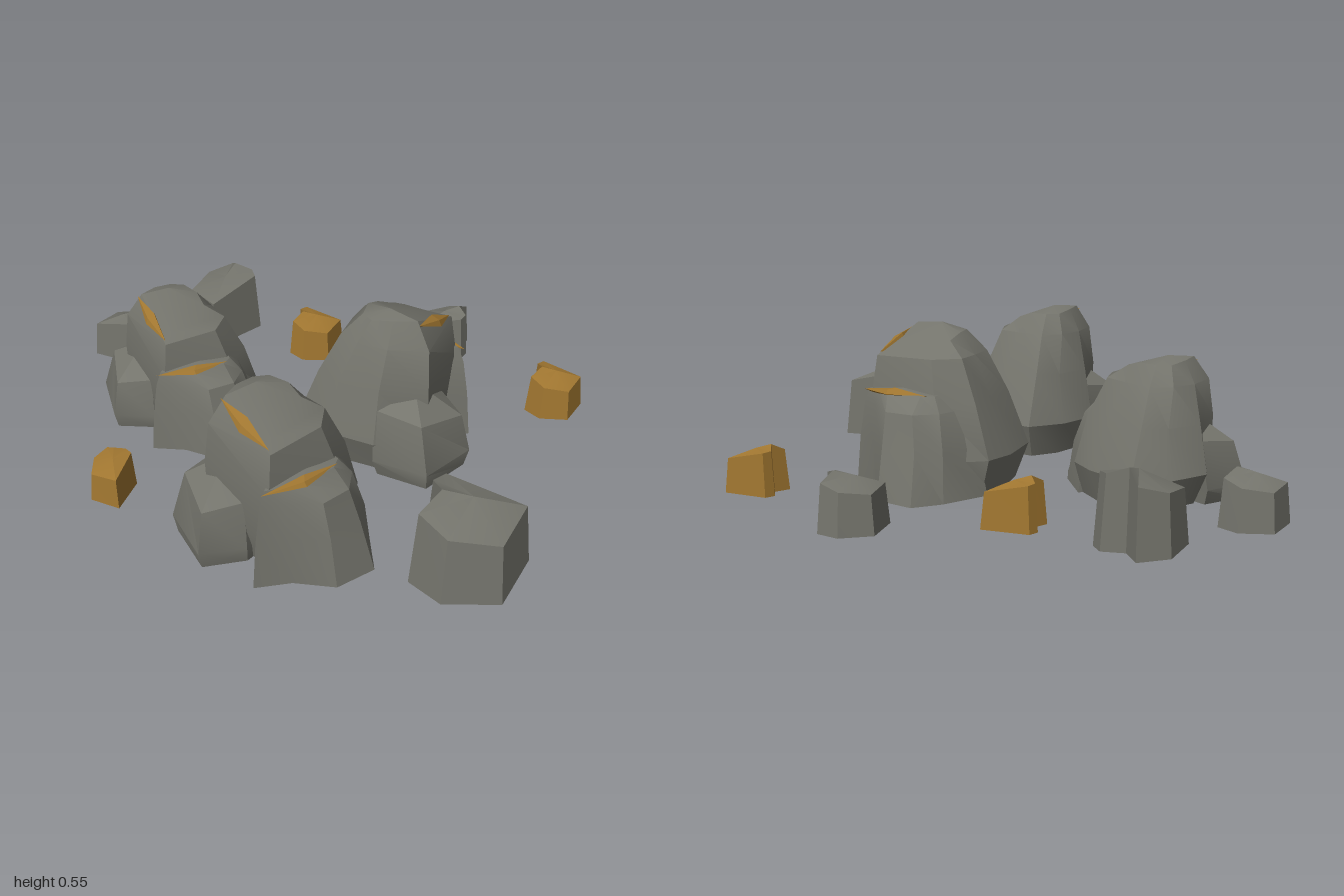
import * as THREE from 'three';
import { toCreasedNormals } from 'three/addons/utils/BufferGeometryUtils.js';
import { ConvexGeometry } from 'three/addons/geometries/ConvexGeometry.js';

const rockMat = new THREE.MeshStandardMaterial({ color: 0x74746c });
const oreMat = new THREE.MeshStandardMaterial({ color: 0xa07630 });

// Lofts rings [y, [[x, z, ownY?], ...]] (clockwise from above) and closes both ends
function loft(rings, peak, [ox, oz]) {
  const pos = [];
  const pts = rings.map(([y, ring]) => ring.map(([x, z, py]) => [x - ox, py ?? y, z - oz]));
  const tri = (a, b, c) => pos.push(...a, ...b, ...c);
  const n = pts[0].length;
  const top = [peak[0] - ox, peak[1], peak[2] - oz];
  const base = [0, 1, 2].map((k) => pts[0].reduce((s, p) => s + p[k], 0) / n);
  const last = pts[pts.length - 1];
  for (let i = 0; i < n; i++) {
    const j = (i + 1) % n;
    for (let r = 0; r < pts.length - 1; r++) {
      const a = pts[r][i], b = pts[r][j], c = pts[r + 1][j], d = pts[r + 1][i];
      tri(a, d, c);
      tri(a, c, b);
    }
    tri(top, last[j], last[i]);
    tri(base, pts[0][i], pts[0][j]);
  }
  const geo = new THREE.BufferGeometry();
  geo.setAttribute('position', new THREE.Float32BufferAttribute(pos, 3));
  return toCreasedNormals(geo, 0.45);
}

// Thin sliver of ore lying in a ledge
function seam(points, [ox, oz]) {
  return new ConvexGeometry(points.map(([x, y, z]) => new THREE.Vector3(x - ox, y, z - oz)));
}

function part(parent, name, geo, mat) {
  const mesh = new THREE.Mesh(geo, mat);
  mesh.name = name;
  parent.add(mesh);
  return mesh;
}

// Outcrop: tall boulder, shoulder boulder, foot boulder and two ore seams
const C = [0.28, 0.48];
const tallBoulder = loft([
  [0, [[.14, .30], [.29, .28], [.40, .31], [.48, .42], [.42, .65], [.20, .66], [.10, .54], [.10, .40]]],
  [.12, [[.12, .26], [.30, .25], [.41, .28], [.50, .40], [.44, .68], [.17, .69], [.055, .55], [.06, .39]]],
  [.30, [[.14, .325], [.29, .32], [.40, .33], [.47, .44], [.43, .69], [.16, .69], [.09, .55], [.10, .41]]],
  [.44, [[.17, .39], [.28, .385], [.37, .39], [.43, .47], [.42, .67], [.175, .68], [.13, .56], [.13, .46]]],
  [.51, [[.20, .45], [.27, .44], [.33, .45, .49], [.39, .52, .465], [.385, .63, .46], [.20, .63, .525], [.175, .56, .52], [.17, .49]]],
], [.225, .535, .53], C);
const shoulderBoulder = loft([
  [0, [[.40, .29], [.55, .375], [.63, .45], [.60, .585], [.49, .66], [.42, .755], [.34, .64]]],
  [.16, [[.40, .32], [.53, .385], [.58, .46], [.57, .58], [.475, .66], [.42, .74], [.35, .63]]],
  [.28, [[.40, .37], [.50, .41], [.55, .48], [.54, .58], [.46, .66], [.42, .72], [.36, .62]]],
  [.33, [[.42, .43], [.47, .44], [.49, .48], [.485, .60], [.45, .65], [.42, .70], [.38, .62]]],
], [.45, .345, .56], C);
const footBoulder = loft([
  [0, [[.07, .56], [.31, .55], [.32, .68], [.24, .795], [.06, .73]]],
  [.06, [[.05, .55], [.32, .55], [.33, .69], [.245, .81], [.045, .735]]],
  [.21, [[.08, .54, .24], [.32, .54, .24], [.315, .68, .22], [.235, .78, .195], [.075, .70, .22]]],
], [.19, .31, .63], C);
const upperSeam = seam([
  [.19, .515, .64], [.41, .45, .665], [.30, .50, .64], [.30, .465, .675], [.30, .487, .667], [.30, .45, .62],
], C);
const lowerSeam = seam([
  [.485, .33, .46], [.425, .325, .72], [.495, .328, .60], [.465, .346, .58], [.485, .342, .60], [.46, .30, .58],
], C);

// Loose stone: notched footprint with a lid sloping away from the notch
const S = [0.84, 0.26];
const outline = [[.68, .205], [.945, .095], [1, .31], [.865, .43], [.735, .42], [.75, .32], [.675, .27]];
const lidHeights = [.27, .215, .205, .225, .255, .30, .275];
const inset = (k, heights) => outline.map(([x, z], i) =>
  [S[0] + (x - S[0]) * k, S[1] + (z - S[1]) * k, heights?.[i]]);
const stone = loft([[0, inset(1)], [.25, inset(0.88, lidHeights)]], [.83, .275, .25], S);

export function createModel() {
  const model = new THREE.Group();
  model.name = 'rockField';

  // position, turn, scale
  const outcrops = [
    ['frontOutcrop', [.28, .015, .48], 0, [1, 1, 1]],
    ['leftOutcrop', [-.433, .005, .207], -.22, [1.05, .885, .92]],
    ['backOutcrop', [.168, 0, -.105], 1.89, [1, 1.03, 1.05]],
  ];
  for (const [name, position, turn, scale] of outcrops) {
    const g = new THREE.Group();
    g.name = name;
    part(g, 'tallBoulder', tallBoulder, rockMat);
    part(g, 'shoulderBoulder', shoulderBoulder, rockMat);
    part(g, 'footBoulder', footBoulder, rockMat);
    part(g, 'upperOreSeam', upperSeam, oreMat);
    part(g, 'lowerOreSeam', lowerSeam, oreMat);
    g.position.set(...position);
    g.rotation.y = turn;
    g.scale.set(...scale);
    model.add(g);
  }

  // x, z, turn, scale
  const stones = [
    ['rightStone', rockMat, .84, .26, 0, 1],
    ['backStone', rockMat, -.02, -.71, -2.92, .613],
    ['leftStone', rockMat, -.905, .135, -3.22, .61],
    ['leftBackStone', rockMat, -.76, -.25, -2.03, .84],
    ['backOreStone', oreMat, .53, -.655, -.07, .55],
    ['leftOreStone', oreMat, -.37, -.37, 0, .55],
    ['frontOreStone', oreMat, -.25, .735, -1.52, .48],
  ];
  for (const [name, mat, x, z, turn, scale] of stones) {
    const mesh = part(model, name, stone, mat);
    mesh.position.set(x, .01, z);
    mesh.rotation.y = turn;
    mesh.scale.setScalar(scale);
  }
  return model;
}
